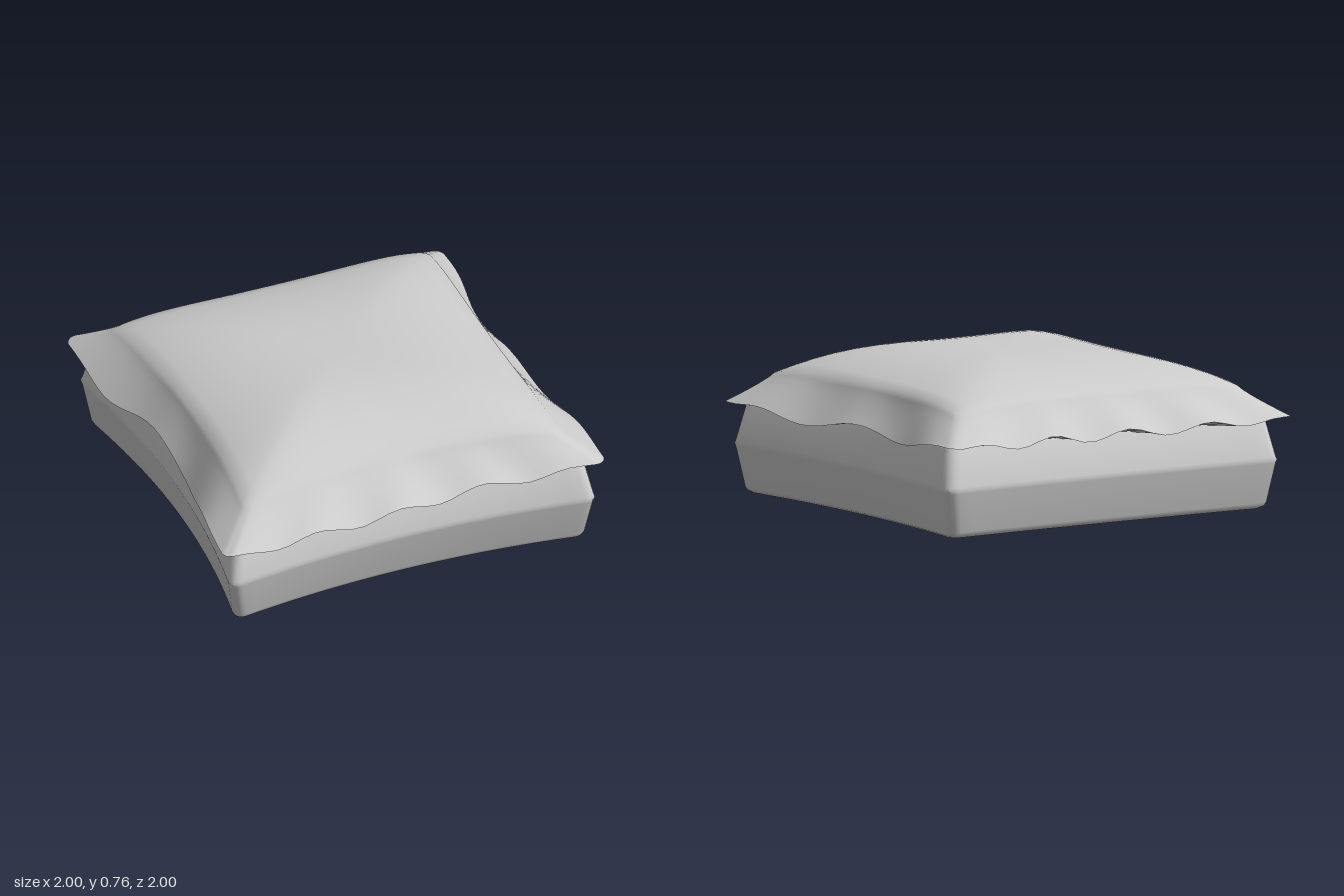
import * as THREE from 'three';
import { toCreasedNormals } from 'three/addons/utils/BufferGeometryUtils.js';

const { lerp, clamp } = THREE.MathUtils;

// Unit square outline with rounded corners, counter-clockwise from above
function outline(r, perSide = 28, arc = 6) {
  const pts = [];
  for (let k = 0; k < 4; k++) {
    const side = [];
    for (let i = 0; i <= perSide; i++) side.push([1, (1 - r) * (1 - 2 * i / perSide)]);
    for (let i = 1; i < arc; i++) {
      const t = (i / arc) * Math.PI / 2;
      side.push([1 - r + r * Math.cos(t), -(1 - r) - r * Math.sin(t)]);
    }
    for (let [x, z] of side) {
      for (let j = 0; j < k; j++) [x, z] = [z, -x];
      pts.push([x, z]);
    }
  }
  return pts;
}

// Skin a stack of rings; place(a, b, level) gives the position of each outline point.
// A ring of size zero closes the surface in one point.
function loft(pts, levels, place, crease) {
  const pos = [], idx = [], n = pts.length;
  levels.forEach((level, r) => {
    pts.forEach(([a, b], i) => {
      pos.push(...place(a, b, level));
      if (r === levels.length - 1) return;
      const p = r * n + i, q = r * n + (i + 1) % n;
      if (level[0] > 0) idx.push(p, q, q + n);
      if (levels[r + 1][0] > 0) idx.push(p, q + n, p + n);
    });
  });
  const geo = new THREE.BufferGeometry();
  geo.setAttribute('position', new THREE.Float32BufferAttribute(pos, 3));
  geo.setIndex(idx);
  return toCreasedNormals(geo, crease);
}

// Smooth lookup in evenly spaced values over -1..1
function lookup(values) {
  const curve = new THREE.SplineCurve(values.map((v, i) => new THREE.Vector2(i, v)));
  return (s) => curve.getPoint((clamp(s, -1, 1) + 1) / 2).y;
}

export function createModel() {
  const model = new THREE.Group();
  const material = new THREE.MeshStandardMaterial({ color: 0xcccccc, side: THREE.DoubleSide });
  const add = (name, geo) => {
    const mesh = new THREE.Mesh(geo, material);
    mesh.name = name;
    model.add(mesh);
  };

  // Box body: belted sides that bow inward; each level is [half size, height]
  const bodyLevels = [[0, 0], [0.5, 0], [0.87, 0], [0.893, 0.003], [0.913, 0.014], [0.922, 0.032],
    [0.955, 0.225], [0.96, 0.24], [0.955, 0.255], [0.918, 0.43], [0.9, 0.45]];
  add('body', loft(outline(0.07), bodyLevels, (a, b, [h, y]) => {
    const bowX = (a > 0 ? 0.07 : 0.1) * (1 - b * b) * Math.abs(a) ** 4;
    const bowZ = (b > 0 ? 0.085 : 0.02) * (1 - a * a) * Math.abs(b) ** 4;
    return [h * (a - Math.sign(a) * bowX), y, h * (b - Math.sign(b) * bowZ)];
  }, 0.9));

  // Irregular hem on the four sides of the lid
  const left = lookup([0.95, 0.95, 0.92, 0.91, 0.935, 0.96, 0.99, 1, 1]);
  const right = lookup([1, 1, 0.985, 0.91, 0.895, 0.9, 0.94, 0.98, 1]);
  const front = lookup([1, 1, 0.98, 0.965, 0.955, 0.92, 0.93, 0.945, 0.96]);
  const back = lookup([1, 1, 1, 0.98, 0.975, 0.97, 0.98, 0.99, 0.995]);

  // Wavy hem height, calm at the corners
  const hemHeight = (a, b) => {
    const corner = (a * b) ** 4;
    const wave = Math.abs(b) > Math.abs(a)
      ? 0.44 + 0.024 * Math.cos(14 * (a - 0.38))
      : 0.432 + 0.025 * Math.cos(7.85 * (b + 0.1));
    return lerp(wave, 0.45, corner);
  };

  // Puffed top inside the ridge line
  const domeHeight = (a, b) => {
    const size = (a ** 6 + b ** 6) ** (1 / 6);
    return 0.757 - 0.13 * size ** 2.8 + 0.03 * b * (1 - Math.min(size, 1));
  };

  // Each level is [scale of the ridge line, share of the way from ridge to hem]
  const lidLevels = [[1, 1], [1, 0.85], [1, 0.7], [1, 0.55], [1, 0.4], [1, 0.25], [1, 0.1], [1, 0]];
  for (let i = 11; i >= 0; i--) lidLevels.push([i / 12, 0]);
  const placeLid = (a, b, [s, w]) => {
    const ridgeX = a * (a > 0 ? 0.81 - 0.02 * (1 - b * b) : 0.82 - 0.05 * (1 - b * b));
    const ridgeZ = b * (b > 0 ? 0.82 - 0.08 * (1 - a * a) : 0.82 - 0.03 * (1 - a * a));
    const hemX = a * (a > 0 ? left(b) : right(b));
    const hemZ = b * (b > 0 ? front(a) : back(a));
    return [
      s * lerp(ridgeX, hemX, w),
      lerp(domeHeight(s * a, s * b), hemHeight(a, b), w ** 0.85),
      s * lerp(ridgeZ, hemZ, w),
    ];
  };
  add('lid', loft(outline(0.06), lidLevels, placeLid, 1.2));

  // Underside of the hem, running from the body out to the edge
  add('hemUnderside', loft(outline(0.06), [[0.87, 0], [1, 1]], (a, b, [s, w]) => {
    const [x, y, z] = placeLid(a, b, [1, 1]);
    return [s * x, lerp(0.432, y, w), s * z];
  }, 0.9));

  return model;
}
